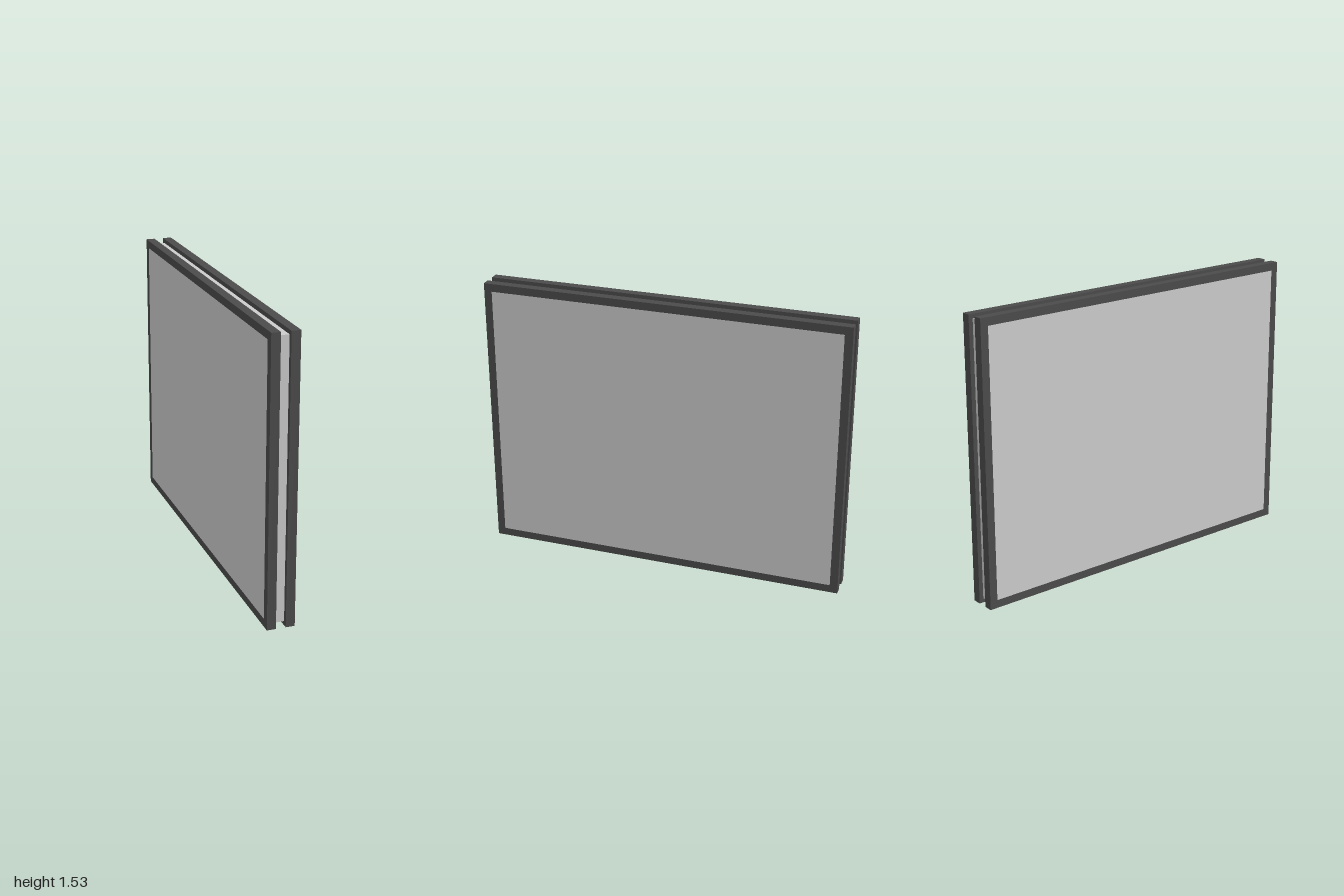
import * as THREE from 'three';

const H = 1.53, L = 2, BORDER = 0.043, DEPTH = 0.048, OUTER = 0.074;

// Rectangle centred on the origin, as a shape or a hole
function rect(target, w, h) {
  target.moveTo(-w / 2, -h / 2);
  target.lineTo(w / 2, -h / 2);
  target.lineTo(w / 2, h / 2);
  target.lineTo(-w / 2, h / 2);
  target.closePath();
  return target;
}

export function createModel() {
  const group = new THREE.Group();
  const grey = new THREE.MeshStandardMaterial({ color: 0xcccccc });
  const dark = new THREE.MeshStandardMaterial({ color: 0x4b4b4b });

  function add(name, geometry, material, x) {
    const mesh = new THREE.Mesh(geometry, material);
    mesh.name = name;
    mesh.position.set(x, H / 2, 0);
    group.add(mesh);
  }

  // Rectangular frame with an opening, turned so its depth runs along x
  const outline = rect(new THREE.Shape(), L, H);
  outline.holes.push(rect(new THREE.Path(), L - 2 * BORDER, H - 2 * BORDER));
  const frame = new THREE.ExtrudeGeometry(outline, { depth: DEPTH, bevelEnabled: false });
  frame.translate(0, 0, -DEPTH / 2);
  frame.rotateY(Math.PI / 2);

  // Pane filling the opening, flush with the frame
  const pane = new THREE.BoxGeometry(DEPTH, H - 2 * BORDER, L - 2 * BORDER);

  for (const [side, s] of [['left', 1], ['right', -1]]) {
    const x = s * (OUTER - DEPTH / 2);
    add(side + 'Frame', frame, dark, x);
    add(side + 'Pane', pane, grey, x);
  }

  // Spacer slab between the two frames, slightly inset all round
  add('spacer', new THREE.BoxGeometry(2 * (OUTER - DEPTH), H - 0.046, L - 0.046), grey, 0);
  return group;
}
